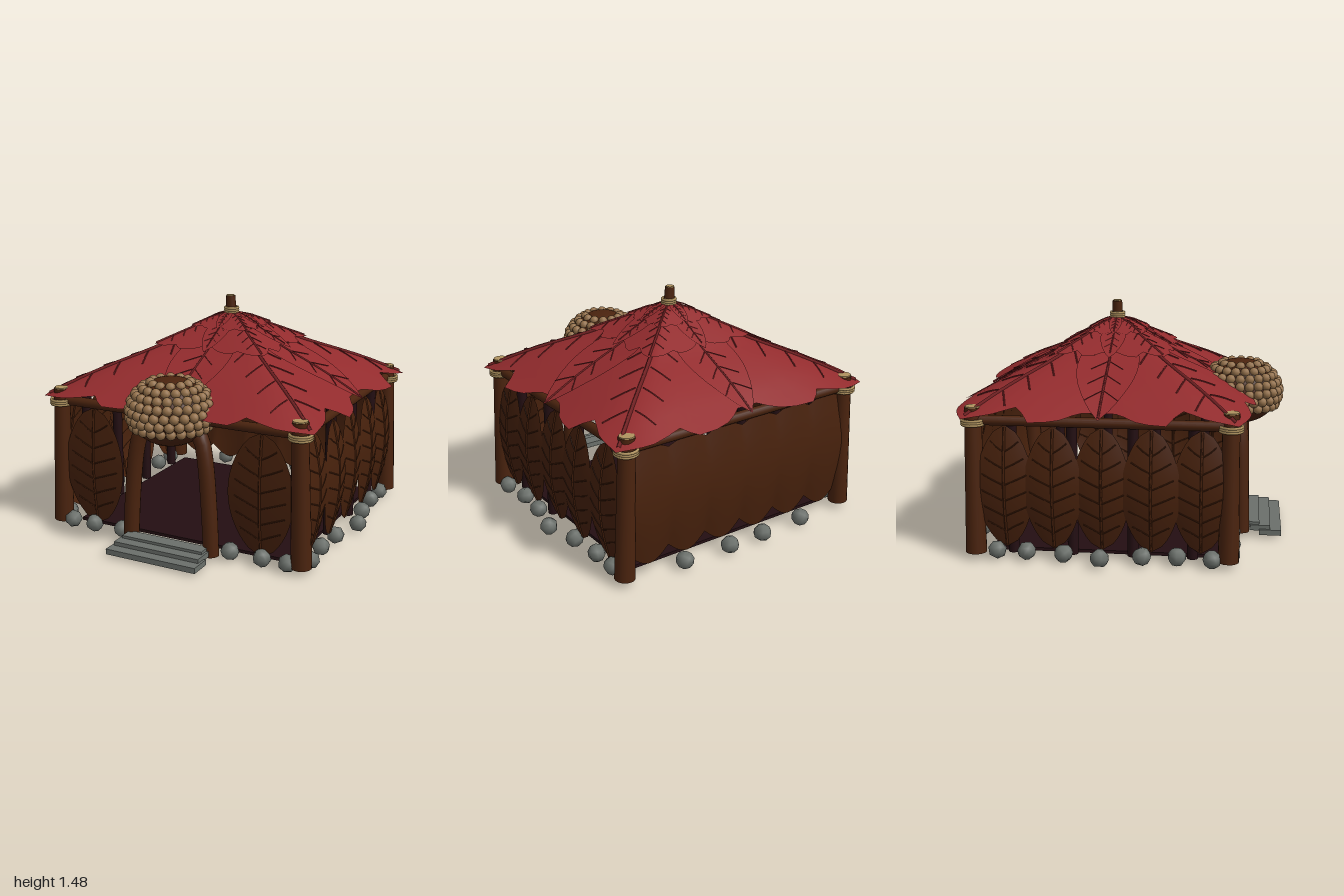
import * as THREE from 'three';
import { mergeGeometries } from 'three/addons/utils/BufferGeometryUtils.js';

const V = (x, y, z) => new THREE.Vector3(x, y, z);
const mat = (name, color, side = THREE.FrontSide) => {
  const m = new THREE.MeshStandardMaterial({ color, side });
  m.name = name;
  return m;
};

export function createModel() {
  const root = new THREE.Group();
  root.name = 'leafHut';
  const wood = mat('brown wood', 0x4a230e);
  const wallLeafMat = mat('brown leaf', 0x47210c, THREE.DoubleSide);
  const red = mat('red leaf', 0x922b2d, THREE.DoubleSide);
  const redVein = mat('dark red vein', 0x762325);
  const dark = mat('dark timber', 0x230e12);
  const stone = mat('grey stone', 0x6b706b);
  const tan = mat('rope and cut wood', 0xb0935f);
  const seed = mat('seed', 0x93704a);

  const add = (name, geo, material, parent = root) => {
    const m = new THREE.Mesh(geo, material);
    m.name = name;
    parent.add(m);
    return m;
  };
  const tube = (pts, r, n = 6, sides = 4) =>
    new THREE.TubeGeometry(new THREE.CatmullRomCurve3(pts), n, r, sides);
  // Straight pole between two points
  const pole = (name, a, b, r0, r1, material) => {
    const m = add(name, new THREE.CylinderGeometry(r1, r0, a.distanceTo(b), 16), material);
    m.position.copy(a).lerp(b, 0.5);
    m.quaternion.setFromUnitVectors(V(0, 1, 0), b.clone().sub(a).normalize());
  };
  // Grid surface from a rule fn(u, v), u and v in 0..1
  const surface = (fn, nu, nv) => {
    const g = new THREE.PlaneGeometry(1, 1, nu, nv), p = g.attributes.position;
    for (let i = 0; i < p.count; i++) {
      const q = fn(p.getX(i) + 0.5, p.getY(i) + 0.5);
      p.setXYZ(i, q.x, q.y, q.z);
    }
    g.computeVertexNormals();
    return g;
  };
  const ropes = (x, y, z, r) => {
    for (let i = 0; i < 3; i++) {
      const m = add('ropeRing', new THREE.TorusGeometry(r, 0.009, 6, 20), tan);
      m.rotation.x = Math.PI / 2;
      m.position.set(x, y + i * 0.013, z);
    }
  };

  // ---- Frame: corner posts, beams, inner stakes, floor
  for (const s of [-1, 1]) {
    for (const z of [0.675, -0.85]) {
      pole('cornerPost', V(s * 0.85, 0.05, z), V(s * 0.825, 0.944, z), 0.064, 0.05, wood);
      pole('postCutTop', V(s * 0.825, 0.944, z), V(s * 0.825, 0.952, z), 0.046, 0.046, tan);
      ropes(s * 0.83, 0.845, z, 0.067);
    }
    pole('sideBeam', V(s * 0.83, 0.868, 0.68), V(s * 0.83, 0.868, -0.85), 0.031, 0.031, wood);
    for (const z of [0.46, 0.1, -0.265, -0.63])
      pole('innerStake', V(s * 0.79, 0.04, z), V(s * 0.79, 0.87, z), 0.033, 0.033, dark);
  }
  for (const z of [0.675, -0.85])
    pole('crossBeam', V(-0.83, 0.868, z), V(0.83, 0.868, z), 0.031, 0.031, wood);
  add('floor', new THREE.BoxGeometry(1.5, 0.02, 1.38), dark).position.set(0, 0.04, -0.08);

  // ---- Wall leaves with raised veins, facing +z and standing on y = 0
  const wallLeaf = (w, h, bow) => {
    const g = new THREE.Group();
    g.name = 'wallLeaf';
    const at = (u, v) => V(v * w / 2 * Math.pow(Math.sin(Math.PI * Math.min(Math.max(u, 0), 1)), 0.55), u * h,
      bow * Math.sin(Math.PI * u) * (1 - 0.45 * v * v));
    add('leafBlade', surface((a, b) => at(b, a * 2 - 1), 8, 18), wallLeafMat, g);
    const veins = [tube([0.02, 0.25, 0.5, 0.75, 0.98].map(u => at(u, 0)), 0.008, 10)];
    for (const s of [-1, 1])
      for (let u = 0.14; u < 0.8; u += 0.13)
        veins.push(tube([0, 0.4, 0.8].map(k => at(u + k * 0.1, s * k)), 0.004, 4));
    add('leafVeins', mergeGeometries(veins), wallLeafMat, g);
    root.add(g);
    return g;
  };
  for (const s of [-1, 1]) {
    wallLeaf(0.43, 0.78, 0.03).position.set(s * 0.585, 0.065, 0.675);
    [0.51, 0.215, -0.08, -0.37, -0.66].forEach((z, i) => {
      const l = wallLeaf(0.35, 0.76, 0.06);
      l.rotation.y = s * Math.PI / 2;
      l.position.set(s * (0.835 + (i % 2) * 0.008), 0.085, z);
    });
  }
  // Back wall of closely overlapped leaves with scalloped hem
  add('backWall', surface((a, b) => {
    const c = Math.abs(Math.sin(a * Math.PI * 6));
    return V((a - 0.5) * 1.62, THREE.MathUtils.lerp(0.17 - 0.08 * c, 0.81 + 0.04 * c, b),
      -0.85 - 0.045 * Math.sin(Math.PI * b) - 0.004 * c);
  }, 72, 8), wallLeafMat);

  // ---- Roof: tiers of lobed leaves draped over a hipped height rule
  const roof = new THREE.Group();
  roof.name = 'roof';
  roof.position.z = -0.09;
  root.add(roof);
  const profile = [[0, 1.34], [0.1, 1.31], [0.2, 1.26], [0.4, 1.165], [0.57, 1.1], [0.73, 1.033], [0.85, 0.975], [0.98, 0.915], [1.2, 0.82]];
  const height = (x, z) => {
    const ax = Math.abs(x), az = Math.abs(z) * 1.06;
    const m = Math.max(ax, az, 1e-6), t = Math.min(ax, az) / m;
    const i = Math.max(1, profile.findIndex(p => p[0] >= m));
    const [a, b] = [profile[i - 1], profile[i]];
    return THREE.MathUtils.mapLinear(m, a[0], b[0], a[1], b[1]) - m * m * (0.05 * (1 - t) ** 2 + 0.078 * t ** 5);
  };
  // One quadrant of the scalloped edge
  const edge = [[0.86, 0], [0.875, 0.1], [0.9, 0.15], [0.945, 0.22], [0.97, 0.3], [0.985, 0.4], [0.92, 0.44],
    [0.865, 0.49], [0.89, 0.55], [0.92, 0.62], [0.93, 0.68], [0.93, 0.81], [0.86, 0.845], [0.79, 0.87], [0.72, 0.88],
    [0.62, 0.865], [0.52, 0.84], [0.48, 0.88], [0.43, 0.91], [0.3, 0.9], [0.2, 0.875], [0.13, 0.84], [0.07, 0.8], [0, 0.8]];
  for (const [k, lift] of [[1, 0], [0.42, 0.03], [0.22, 0.045]]) {
    const on = (x, z, up = 0) => V(x, height(x, z) + lift + up, z);
    const veins = [];
    const vein = (pts, r) => veins.push(tube(pts.map(p => on(p[0] * k, p[1] * k, k * 0.003 + (p[2] || 0))), r * (0.4 + 0.6 * k), 10));
    for (const sx of [-1, 1]) for (const sz of [-1, 1]) {
      add('cornerRoofLeaf', surface((a, b) => {
        const e = edge[Math.round(a * (edge.length - 1))];
        return on(sx * e[0] * k * b, sz * e[1] * k * b);
      }, edge.length - 1, 14), red, roof);
      vein([0.06, 0.2, 0.35, 0.5, 0.65, 0.8, 0.98].map(d => [sx * 0.92 * d, sz * 0.81 * d]), 0.012);
      for (const d of [0.3, 0.45, 0.6, 0.75]) {
        const x = 0.92 * d, z = 0.81 * d;
        vein([0.15, 0.55, 1].map(q => [sx * (x + 0.17 * q), sz * (z - 0.05 * q)]), 0.005);
        vein([0.15, 0.55, 1].map(q => [sx * (x - 0.05 * q), sz * (z + 0.17 * q)]), 0.005);
      }
    }
    // Narrow leaves on the four sides
    for (let n = 0; n < 4; n++) {
      const len = n % 2 ? 0.85 : 0.925, c = Math.round(Math.cos(n * Math.PI / 2)), s = Math.round(Math.sin(n * Math.PI / 2));
      const turn = (a, w) => [a * c - w * s, a * s + w * c];
      add('sideRoofLeaf', surface((a, b) => {
        const w = (a * 2 - 1) * 0.19 * Math.pow(Math.sin(Math.PI * Math.min(b, 0.999)), 0.8);
        const [x, z] = turn(b * len * (k < 1 ? 1.1 : 1), w);
        return on(x * k, z * k, 0.008);
      }, 8, 14), red, roof);
      vein([0.1, 0.25, 0.4, 0.55, 0.7, 0.85, 0.99].map(d => [...turn(len * d, 0), 0.008]), 0.007);
      for (const sd of [-1, 1]) for (const d of [0.3, 0.45, 0.6, 0.75])
        vein([0.1, 0.5, 1].map(q => [...turn(len * (d + 0.1 * q), sd * 0.1 * q), 0.008]), 0.003);
    }
    add('roofVeins', mergeGeometries(veins), redVein, roof);
  }
  // Centre pole
  pole('peakPole', V(0.005, 1.3, -0.09), V(-0.008, 1.485, -0.09), 0.036, 0.031, wood);
  pole('peakCutTop', V(-0.008, 1.485, -0.09), V(-0.008, 1.491, -0.09), 0.027, 0.027, tan);
  ropes(0, 1.382, -0.09, 0.042);

  // ---- Seed head above the door
  const head = new THREE.Group();
  head.name = 'seedHead';
  head.position.set(0, 0.91, 0.715);
  root.add(head);
  add('seedCore', new THREE.SphereGeometry(1, 28, 20), wood, head).scale.set(0.25, 0.21, 0.25);
  const seeds = [];
  for (let row = 0; row < 7; row++) {
    const lat = -0.42 + row * 0.25, n = Math.max(8, Math.round(26 * Math.cos(lat)));
    for (let i = 0; i < n; i++) {
      const a = (i + (row % 2) / 2) / n * Math.PI * 2;
      seeds.push(new THREE.SphereGeometry(0.031, 10, 8).translate(
        0.253 * Math.cos(lat) * Math.cos(a), 0.2 * Math.sin(lat), 0.253 * Math.cos(lat) * Math.sin(a)));
    }
  }
  add('seeds', mergeGeometries(seeds), seed, head);

  // ---- Doorway posts and steps
  for (const s of [-1, 1])
    add('doorPost', tube([V(s * 0.285, 0.04, 0.745), V(s * 0.268, 0.35, 0.738), V(s * 0.235, 0.66, 0.727),
      V(s * 0.2, 0.77, 0.715), V(s * 0.1, 0.85, 0.71)], 0.05, 20, 14), wood);
  [[0.62, 0.045, 0.93, 0.14], [0.59, 0.07, 0.865, 0.13], [0.56, 0.087, 0.815, 0.09]].forEach(([w, y, z, d]) =>
    add('doorStep', new THREE.BoxGeometry(w, 0.035, d), stone).position.set(0, y, z));

  // ---- Foundation stones
  const rock = (x, z, i) => {
    const m = add('stone', new THREE.SphereGeometry(0.057, 7, 5), stone);
    m.position.set(x, 0.066, z);
    m.rotation.set(i * 0.7, i * 1.3, i * 0.4);
  };
  for (const s of [-1, 1]) {
    [[0.87, 0.58], [0.85, 0.37], [0.865, 0.16], [0.925, -0.085], [0.87, -0.31], [0.85, -0.54], [0.85, -0.72]]
      .forEach(([x, z], i) => rock(s * x, z, i + s));
    [[0.13, -0.925], [0.46, -0.91]].forEach(([x, z], i) => rock(s * x, z, i + 2));
    [0.385, 0.6, 0.765].forEach((x, i) => rock(s * x, 0.69, i + 5));
  }
  return root;
}
